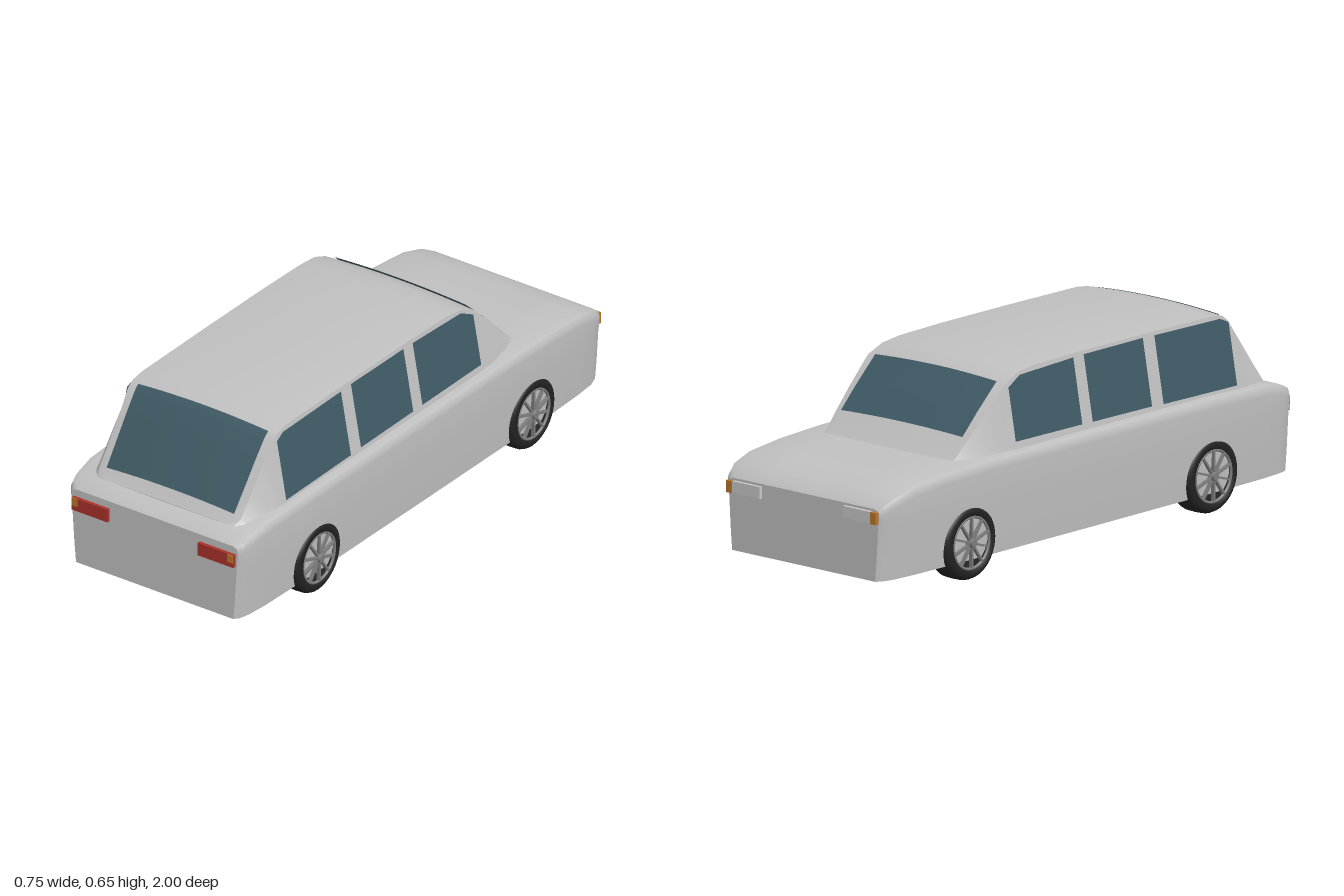
import * as THREE from 'three';
import { toCreasedNormals } from 'three/addons/utils/BufferGeometryUtils.js';

const mat = (name, color, side = THREE.FrontSide) => {
  const m = new THREE.MeshStandardMaterial({ color, side });
  m.name = name;
  return m;
};

// Skin a list of closed rings of [x, y, z], ordered from +z to -z
function loft(rings, crease) {
  const pos = [];
  const n = rings[0].length;
  const tri = (...pts) => pts.forEach((p) => pos.push(...p));
  for (let i = 0; i < rings.length - 1; i++) {
    for (let j = 0; j < n; j++) {
      const k = (j + 1) % n, A = rings[i], B = rings[i + 1];
      tri(A[j], B[j], A[k]);
      tri(A[k], B[j], B[k]);
    }
  }
  // End caps
  [rings[0], rings[rings.length - 1]].forEach((r, end) => {
    const c = [0, 0.2, r[0][2]];
    if (r[0][1] > 0.2) c[1] = r[0][1];
    for (let j = 0; j < n; j++) {
      const k = (j + 1) % n;
      if (end) tri(c, r[k], r[j]);
      else tri(c, r[j], r[k]);
    }
  });
  const g = new THREE.BufferGeometry();
  g.setAttribute('position', new THREE.Float32BufferAttribute(pos, 3));
  return toCreasedNormals(g, crease);
}

// Mirror the right half of a section into a full ring
const ring = (half, z) => [
  ...half.map(([x, y]) => [x, y, z]),
  ...half.filter(([x]) => x > 0).reverse().map(([x, y]) => [-x, y, z]),
];

// Lower body sections: z, deck height, half width
const BODY = [
  [0.985, 0.333, 0.333], [0.967, 0.347, 0.348], [0.93, 0.362, 0.357], [0.85, 0.378, 0.364],
  [0.6, 0.385, 0.369], [0, 0.386, 0.37], [-0.5, 0.384, 0.369], [-0.7, 0.377, 0.367],
  [-0.85, 0.364, 0.362], [-0.93, 0.342, 0.355], [-0.97, 0.32, 0.341], [-0.985, 0.305, 0.328],
];

// Cabin sections: z, centre height, top corner x, top corner y, base half width
const CABIN = [
  [0.925, 0.365, 0.27, 0.362, 0.28], [0.9, 0.395, 0.283, 0.385, 0.305],
  [0.85, 0.465, 0.285, 0.45, 0.325], [0.78, 0.56, 0.286, 0.545, 0.335],
  [0.735, 0.615, 0.291, 0.602, 0.3395], [0.71, 0.634, 0.291, 0.621, 0.3395],
  [0.66, 0.642, 0.29, 0.63, 0.3395], [0.3, 0.648, 0.29, 0.634, 0.3395],
  [0, 0.649, 0.29, 0.635, 0.3395], [-0.2, 0.645, 0.29, 0.632, 0.3395],
  [-0.28, 0.636, 0.292, 0.623, 0.3395], [-0.345, 0.607, 0.297, 0.595, 0.3395],
  [-0.44, 0.52, 0.291, 0.51, 0.33], [-0.51, 0.45, 0.286, 0.442, 0.315],
  [-0.56, 0.4, 0.28, 0.393, 0.298], [-0.6, 0.365, 0.275, 0.36, 0.285],
];

// Height of the cabin skin at a given x and z
function cabinTop(x, z) {
  let i = 0;
  while (i < CABIN.length - 2 && z < CABIN[i + 1][0]) i++;
  const a = CABIN[i], b = CABIN[i + 1], t = (a[0] - z) / (a[0] - b[0]);
  const [, h, cx, cy] = a.map((v, k) => v + (b[k] - v) * t);
  return cy + (h - cy) * (1 - (x / cx) ** 2);
}

export function createModel() {
  const car = new THREE.Group();
  car.name = 'car';
  const paint = mat('body paint', 0xc0c0c0);
  const glass = mat('tinted glass', 0x3f5a64, THREE.DoubleSide);
  const rubber = mat('tyre rubber', 0x222222, THREE.DoubleSide);
  const alloy = mat('wheel alloy', 0x7c7c7c);
  const red = mat('tail lamp red', 0xaa322c);
  const amber = mat('indicator amber', 0xb8762a);
  const lamp = mat('headlamp grey', 0xc8c8c8);

  const add = (parent, name, geo, material, x = 0, y = 0, z = 0) => {
    const m = new THREE.Mesh(geo, material);
    m.name = name;
    m.position.set(x, y, z);
    parent.add(m);
    return m;
  };

  // Lower body with rounded shoulders
  const bodyRings = BODY.map(([z, t, w]) => ring([
    [0, 0.064], [0.945 * w, 0.064], [0.962 * w, 0.13], [0.984 * w, 0.25], [w, t - 0.035],
    [0.997 * w, t - 0.016], [0.98 * w, t - 0.005], [0.93 * w, t], [0.5 * w, t], [0, t],
  ], z));
  add(car, 'lowerBody', loft(bodyRings, 0.6), paint);

  // Cabin with a crowned roof
  const cabinRings = CABIN.map(([z, h, cx, cy, bx]) => {
    const half = [[0, 0.355], [bx, 0.355]];
    for (let i = 8; i >= 0; i--) {
      const u = i / 8;
      half.push([cx * u, cy + (h - cy) * (1 - u * u)]);
    }
    return ring(half, z);
  });
  add(car, 'cabin', loft(cabinRings, 0.6), paint);

  // Screens that follow the cabin skin
  function screen(name, z0, z1, w0, w1) {
    const g = new THREE.PlaneGeometry(2, 1, 12, 14);
    const p = g.attributes.position;
    for (let i = 0; i < p.count; i++) {
      const t = 0.5 - p.getY(i);
      const z = z0 + (z1 - z0) * t;
      const x = p.getX(i) * (w0 + (w1 - w0) * t);
      p.setXYZ(i, x, cabinTop(x, z) + 0.004, z + Math.sign(z) * 0.003);
    }
    g.computeVertexNormals();
    add(car, name, g, glass);
  }
  screen('frontScreen', 0.718, 0.897, 0.26, 0.255);
  screen('rearScreen', -0.345, -0.51, 0.263, 0.263);

  // Side windows as [z, y] outlines laid on the sloping cabin sides
  const WINDOWS = [
    [[0.728, 0.395], [0.375, 0.4], [0.375, 0.622], [0.69, 0.617], [0.728, 0.6]],
    [[0.32, 0.403], [0.035, 0.406], [0.035, 0.624], [0.32, 0.624]],
    [[-0.015, 0.407], [-0.335, 0.41], [-0.335, 0.585], [-0.275, 0.615], [-0.015, 0.623]],
  ];
  for (const side of [1, -1]) {
    WINDOWS.forEach((outline, i) => {
      const g = new THREE.ShapeGeometry(new THREE.Shape(outline.map(([z, y]) => new THREE.Vector2(z, y))));
      const p = g.attributes.position;
      for (let k = 0; k < p.count; k++) {
        const z = p.getX(k), y = p.getY(k);
        p.setXYZ(k, side * (0.339 - (y - 0.385) * 0.182), y, z);
      }
      // Keep the faces turned outward
      if (side > 0) {
        const a = g.index.array;
        for (let k = 0; k < a.length; k += 3) [a[k], a[k + 1]] = [a[k + 1], a[k]];
      }
      g.computeVertexNormals();
      add(car, `sideWindow${i + 1}`, g, glass);
    });

    // Lamps at both ends
    add(car, 'tailLamp', new THREE.BoxGeometry(0.143, 0.046, 0.02), red, side * 0.2515, 0.284, 0.987);
    add(car, 'tailIndicator', new THREE.BoxGeometry(0.022, 0.028, 0.02), amber, side * 0.3115, 0.293, 0.99);
    add(car, 'headlamp', new THREE.BoxGeometry(0.12, 0.04, 0.02), lamp, side * 0.24, 0.277, -0.987);
    add(car, 'frontIndicator', new THREE.BoxGeometry(0.024, 0.04, 0.024), amber, side * 0.312, 0.277, -0.988);
  }

  // Wheels, built facing +x
  const tyreProfile = [
    [0.09, -0.044], [0.108, -0.044], [0.118, -0.04], [0.124, -0.028], [0.125, 0],
    [0.124, 0.028], [0.119, 0.039], [0.108, 0.046], [0.09, 0.046], [0.087, 0.035], [0.087, -0.035], [0.09, -0.044],
  ].map(([r, y]) => new THREE.Vector2(r, y));
  const tyreGeo = new THREE.LatheGeometry(tyreProfile, 40).rotateZ(-Math.PI / 2);
  const rimGeo = new THREE.TorusGeometry(0.086, 0.005, 8, 40).rotateY(Math.PI / 2);
  const hubGeo = new THREE.CylinderGeometry(0.013, 0.02, 0.03, 16).rotateZ(-Math.PI / 2);
  const spokeGeo = new THREE.BoxGeometry(0.012, 0.074, 0.007).translate(0, 0.049, 0);
  for (const side of [1, -1]) {
    for (const z of [0.585, -0.58]) {
      const wheel = new THREE.Group();
      wheel.name = 'wheel';
      wheel.position.set(side * 0.32, 0.125, z);
      if (side < 0) wheel.rotation.y = Math.PI;
      add(wheel, 'tyre', tyreGeo, rubber);
      add(wheel, 'rim', rimGeo, alloy, 0.042);
      add(wheel, 'hub', hubGeo, alloy, 0.042);
      for (let i = 0; i < 10; i++) {
        add(wheel, 'spoke', spokeGeo, alloy, 0.042).rotation.x = (i * Math.PI) / 5;
      }
      car.add(wheel);
    }
  }
  return car;
}
